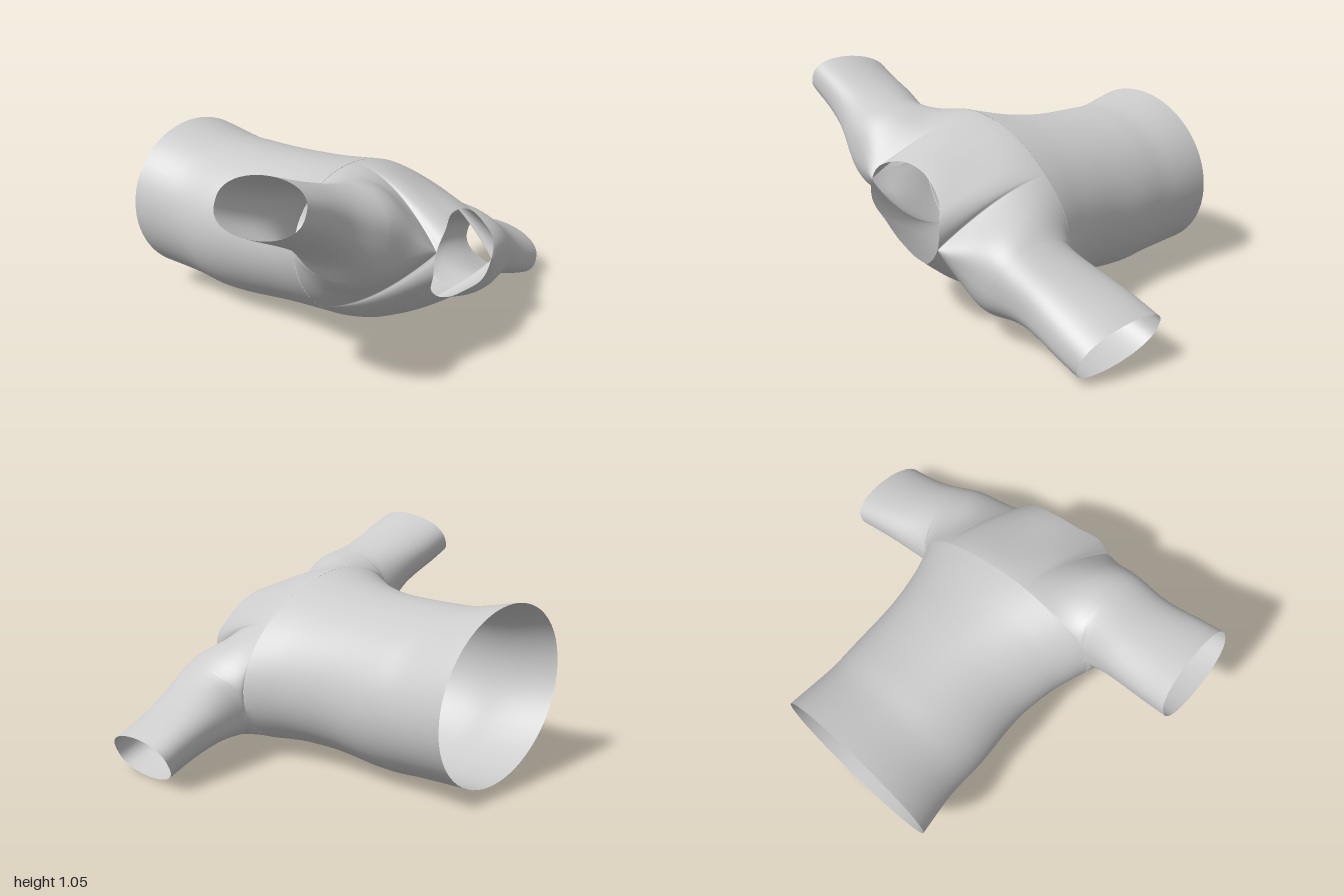
import * as THREE from 'three';
import { mergeGeometries, mergeVertices } from 'three/addons/utils/BufferGeometryUtils.js';

const { lerp, smoothstep, clamp } = THREE.MathUtils;

// Smooth curve through [x, y] points (cubic Hermite).
function profile(pts) {
  const slope = (i) => {
    const a = pts[Math.max(i - 1, 0)], b = pts[Math.min(i + 1, pts.length - 1)];
    return (b[1] - a[1]) / (b[0] - a[0]);
  };
  return (x) => {
    let i = 0;
    while (i < pts.length - 2 && x > pts[i + 1][0]) i++;
    const [x0, y0] = pts[i], [x1, y1] = pts[i + 1], d = x1 - x0;
    const t = clamp((x - x0) / d, 0, 1), t2 = t * t, t3 = t2 * t;
    return y0 * (2 * t3 - 3 * t2 + 1) + y1 * (3 * t2 - 2 * t3)
      + d * (slope(i) * (t3 - 2 * t2 + t) + slope(i + 1) * (t3 - t2));
  };
}

// Sheet over a list of u values and n steps of t; side -1 flips its facing.
function sheet(us, n, side, point) {
  const pos = [], index = [];
  us.forEach((u, i) => {
    for (let j = 0; j <= n; j++) {
      pos.push(...point(u, j / n, side));
      if (i === us.length - 1 || j === n) continue;
      const a = i * (n + 1) + j, b = a + n + 1;
      if (side > 0) index.push(a, b, a + 1, b, b + 1, a + 1);
      else index.push(a, a + 1, b, b, a + 1, b + 1);
    }
  });
  const g = new THREE.BufferGeometry();
  g.setAttribute('position', new THREE.Float32BufferAttribute(pos, 3));
  g.setIndex(index);
  return g;
}

const ARMPIT = 0.55, NECK = 0.26, CUFF = 1.035, JOIN = 0.27;

// Torso outline along z
const bodyWidth = profile([[-0.79, 0.45], [-0.55, 0.43], [-0.35, 0.435], [-0.1, 0.435], [0.1, 0.475], [0.2, 0.515], [JOIN, ARMPIT]]);
const bodyDepth = profile([[-0.79, 0.39], [-0.55, 0.375], [-0.4, 0.38], [0, 0.367], [JOIN, 0.37]]);
const bodyMid = profile([[-0.79, -0.11], [-0.4, -0.14], [0, -0.11], [JOIN, -0.08]]);
const bodyShift = profile([[-0.79, -0.03], [-0.55, -0.005], [-0.1, 0.01], [JOIN, 0]]);

// Shoulder and sleeve outline along |u|
const topHeight = profile([[0, 0.28], [0.2, 0.265], [0.4, 0.205], [0.55, 0.155], [0.75, 0.13], [CUFF, 0.122]]);
const bottomHeight = profile([[0, -0.455], [0.2, -0.43], [0.33, -0.38], [0.42, -0.32], [0.55, -0.24], [0.72, -0.155], [CUFF, -0.12]]);
const frontZ = profile([[0, 0.72], [0.15, 0.735], [0.25, 0.775], [0.4, 0.735], [0.55, 0.71], [0.75, 0.67], [CUFF, 0.66]]);
const backZ = profile([[0, JOIN], [ARMPIT, JOIN], [0.75, 0.25], [CUFF, 0.23]]);
const frontSeam = profile([[0, -0.03], [NECK, -0.03], [CUFF, 0]]);
const backSeam = profile([[ARMPIT, -0.08], [0.75, -0.02], [CUFF, 0]]);
const arc = (x) => Math.sqrt(Math.max(0, 1 - x * x));

// Torso: oval loops from the shoulders to the open hem
function bodyPoint(u, t, side) {
  const z = JOIN + (-0.79 - JOIN) * t, k = u / ARMPIT;
  return [bodyShift(z) + bodyWidth(z) * k, bodyMid(z) + side * bodyDepth(z) * arc(k), z];
}

// Yoke and sleeves: cross-sections from the front seam or neck edge to the back
function yokePoint(u, t, side) {
  const m = Math.abs(u), s = Math.max(0, Math.sin(Math.PI * t)), c = Math.cos(Math.PI * t);
  const h = side > 0 ? topHeight(m) : bottomHeight(m);
  const zf = frontZ(m), zb = backZ(m);
  const z = (zf + zb) / 2 + (zf - zb) / 2 * c;
  const neck = frontSeam(m) + side * 0.2 * arc(Math.min(1, m / NECK));
  const edge = m < ARMPIT ? bodyPoint(u, 0, side)[1] : backSeam(m);

  // Chest: a gentle slope from the torso to the neck edge
  const chest = neck + (edge - neck) * (1 - ((1 + c) / 2) ** 1.6) + (h - edge) * s ** 4;
  // Sleeve: a full oval, easing into the torso behind and tilting towards the cuff
  const w = Math.min(1, m / ARMPIT) ** 10, full = s ** 0.8;
  const sleeve = t < 0.5 ? neck + (h - neck) * full : edge + (h - edge) * (full * w + s * s * (1 - w));
  const tilt = -0.12 * Math.sign(u) * (z - 0.45) * smoothstep(m, 0.6, 0.95);

  return [u, lerp(chest, sleeve, smoothstep(m, 0.22, 0.55)) + tilt, z];
}

export function createModel() {
  // Samples of u from the middle outwards, closer together at the neck corner and armpit
  const half = [];
  for (let i = 0; i < 14; i++) half.push(NECK * Math.sin((i / 14) * Math.PI / 2));
  for (let i = 0; i < 14; i++) half.push(NECK + (ARMPIT - NECK) * (1 - Math.cos((i / 14) * Math.PI)) / 2);
  half.push(ARMPIT);
  const mirror = (list) => [...list.slice(1).reverse().map((u) => -u), ...list];
  const torsoU = mirror(half);
  const sleeveU = [...half];
  for (let i = 1; i <= 16; i++) sleeveU.push(ARMPIT + (CUFF - ARMPIT) * i / 16);
  const yokeU = mirror(sleeveU);

  // Top and bottom sheets joined into one smooth shell
  const sheets = [1, -1].flatMap((side) => [
    sheet(torsoU, 40, side, bodyPoint),
    sheet(yokeU, 32, side, yokePoint),
  ]);
  const geometry = mergeVertices(mergeGeometries(sheets), 1e-4);
  geometry.computeVertexNormals();

  const shell = new THREE.Mesh(geometry, new THREE.MeshStandardMaterial({ color: 0xcccccc, side: THREE.DoubleSide }));
  shell.name = 'garmentShell';
  shell.rotation.z = -0.411;
  shell.position.y = 0.53;

  const group = new THREE.Group();
  group.name = 'shortSleevedTop';
  group.add(shell);
  return group;
}
